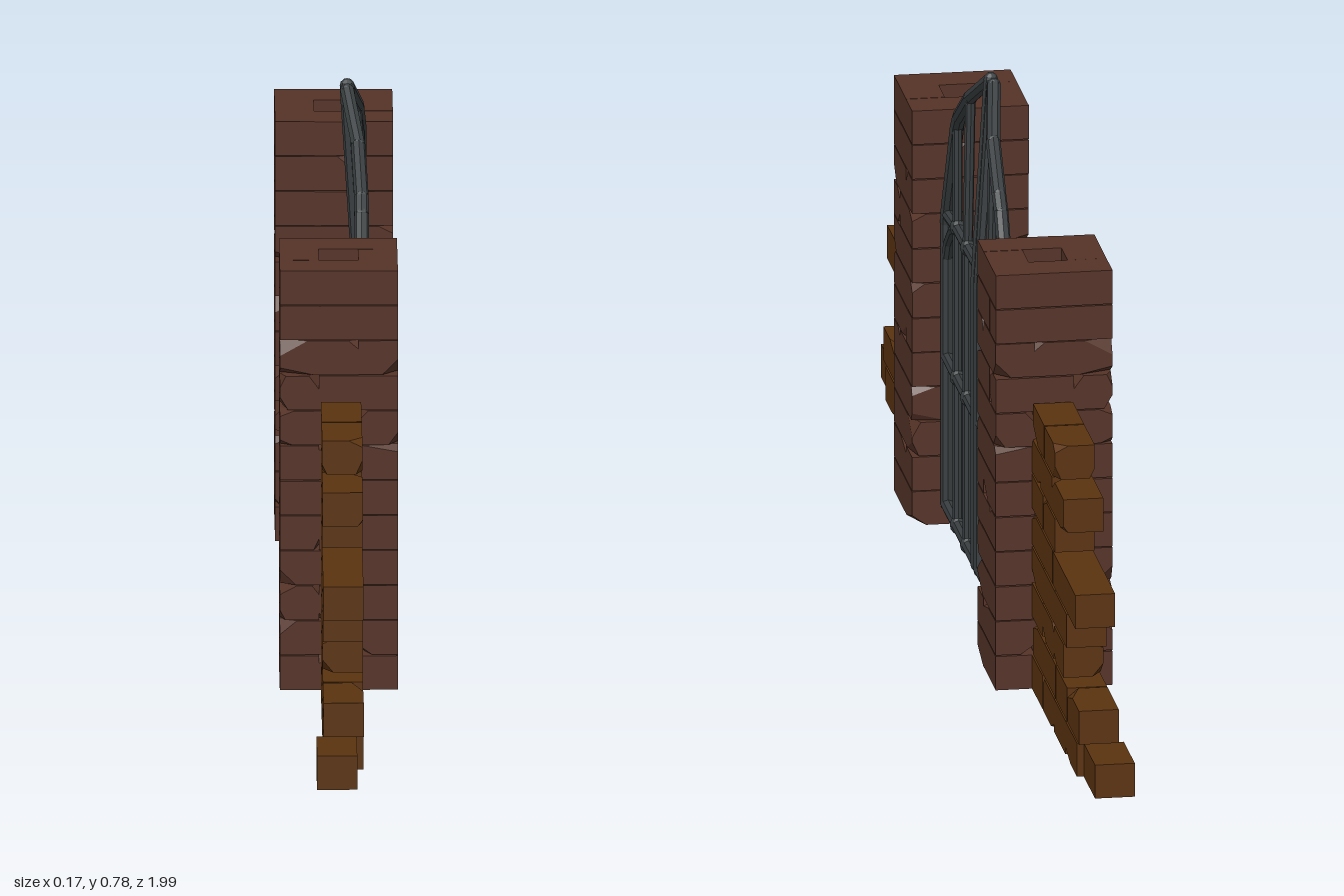
import * as THREE from 'three';
import { mergeGeometries } from 'three/addons/utils/BufferGeometryUtils.js';
import { ConvexGeometry } from 'three/addons/geometries/ConvexGeometry.js';

const material = (color) => new THREE.MeshStandardMaterial({ color, flatShading: true });

function seeded(seed) {
  return () => {
    seed = (seed * 16807) % 2147483647;
    return seed / 2147483647;
  };
}

// Box with some corners chipped off; range is [min, max] for each axis.
// The side factor mirrors the brick in z.
function brick(x, y, z, side, rand, chips) {
  const size = [x[1] - x[0], y[1] - y[0], z[1] - z[0]];
  const points = [];
  for (let i = 0; i < 8; i++) {
    const bit = [i & 1, (i >> 1) & 1, (i >> 2) & 1];
    const corner = [x[bit[0]], y[bit[1]], z[bit[2]]];
    const chipped = rand() < chips;
    const cuts = size.map((s) => s * (0.12 + 0.33 * rand()));
    if (!chipped) points.push(new THREE.Vector3(corner[0], corner[1], corner[2] * side));
    else for (let a = 0; a < 3; a++) {
      const p = [...corner];
      p[a] += bit[a] ? -cuts[a] : cuts[a];
      points.push(new THREE.Vector3(p[0], p[1], p[2] * side));
    }
  }
  return new ConvexGeometry(points);
}

// Hollow square pillar: four bricks per course in a pinwheel that flips each course
function pillar(side, mat) {
  const rand = seeded(4127), parts = [];
  const courses = 12, pitch = 0.0524, half = 0.085, inner = 0.0285, centre = 0.39;
  for (let c = 0; c < courses; c++) {
    const y = [c * pitch, c * pitch + 0.0508];
    const f = c % 2 ? -1 : 1;
    const layout = [
      [[-half, inner], [-half, -inner]],
      [[inner, half], [-half, inner]],
      [[-inner, half], [inner, half]],
      [[-half, -inner], [-inner, half]],
    ];
    for (const [bx, bz] of layout) {
      const x = f > 0 ? bx : [-bx[1], -bx[0]];
      const push = (rand() - 0.5) * 0.003;
      const z = bz.map((v) => v + centre + push);
      parts.push(brick(x, y, z, side, rand, c === courses - 1 ? 0 : 0.2));
    }
  }
  return new THREE.Mesh(mergeGeometries(parts), mat);
}

// Ruined wall: each course runs from its own broken end in to the pillar
function wall(side, mat) {
  const rand = seeded(977), parts = [];
  const ends = [1.0, 0.915, 0.77, 0.8, 0.88, 0.69, 0.77, 0.69];
  const lengths = [0.105, 0.11, 0.09, 0.115, 0.21, 0.11, 0.108, 0.1];
  ends.forEach((end, c) => {
    const y = [c * 0.0547, c * 0.0547 + 0.0505];
    for (let z = end, first = true; z > 0.49; first = false) {
      const stop = Math.max(0.472, z - (first ? lengths[c] : 0.107));
      const shift = c === 0 && first ? -0.01 : 0;
      const x = [-0.026 + shift, 0.032 + shift];
      parts.push(brick(x, y, [stop, z - 0.003], side, rand, 0.22));
      z = stop;
    }
  });
  return new THREE.Mesh(mergeGeometries(parts), mat);
}

// Round iron bar through a few points
function bar(points, radius) {
  const parts = [];
  for (let i = 0; i + 1 < points.length; i++) {
    const a = points[i], b = points[i + 1];
    const dir = b.clone().sub(a);
    const g = new THREE.CylinderGeometry(radius, radius, dir.length(), 8);
    g.applyQuaternion(new THREE.Quaternion().setFromUnitVectors(
      new THREE.Vector3(0, 1, 0), dir.clone().normalize()));
    g.translate(...a.clone().add(b).multiplyScalar(0.5).toArray());
    parts.push(g);
  }
  for (const p of points) {
    parts.push(new THREE.SphereGeometry(radius, 8, 6).translate(p.x, p.y, p.z));
  }
  return mergeGeometries(parts);
}

function gateLeaf(side, mat) {
  const leaf = new THREE.Group();
  const X = 0.035;
  const at = (z, y, x = X) => new THREE.Vector3(x, y, z * side);
  const add = (name, points, radius) => {
    const mesh = new THREE.Mesh(bar(points, radius), mat);
    mesh.name = name;
    leaf.add(mesh);
  };
  // Outer frame; the meeting stile leans back towards its tip
  add('meetingStile', [at(0.014, 0.032), at(0.014, 0.46), at(0.014, 0.765, 0.016)], 0.0105);
  add('hingeStile', [at(0.299, 0.032), at(0.299, 0.47)], 0.0095);
  add('archRail', [at(0.014, 0.765, 0.016), at(0.105, 0.71, 0.031), at(0.185, 0.655),
    at(0.205, 0.635), at(0.29, 0.485), at(0.299, 0.46)], 0.0105);
  add('bottomRail', [at(0.014, 0.032), at(0.299, 0.032)], 0.0095);
  add('middleRail', [at(0.014, 0.255), at(0.299, 0.255)], 0.009);
  add('upperRail', [at(0.014, 0.483, 0.034), at(0.2, 0.481), at(0.299, 0.472)], 0.009);
  add('curvedBrace', [at(0.2, 0.481), at(0.24, 0.465), at(0.28, 0.435), at(0.299, 0.405)], 0.0085);
  // Uprights with a small swelling at each crossing
  for (const [z, top] of [[0.107, 0.708], [0.202, 0.638]]) {
    add('upright', [at(z, 0.032), at(z, 0.48), at(z, top, z < 0.15 ? 0.031 : X)], 0.0075);
    for (const y of [0.032, 0.255, 0.482]) {
      const knuckle = new THREE.Mesh(new THREE.SphereGeometry(0.0125, 8, 6), mat);
      knuckle.name = 'knuckle';
      knuckle.scale.set(0.9, 1.1, 1.2);
      knuckle.position.copy(at(z, y));
      leaf.add(knuckle);
    }
  }
  return leaf;
}

export function createModel() {
  const model = new THREE.Group();
  model.name = 'gateway';
  const pillarMat = material(0x553327);
  const wallMat = material(0x5a330f);
  const ironMat = material(0x393e40);
  for (const side of [1, -1]) {
    const end = side > 0 ? 'front' : 'back';
    const parts = {
      Pillar: pillar(side, pillarMat),
      Wall: wall(side, wallMat),
      GateLeaf: gateLeaf(side, ironMat),
    };
    for (const [name, part] of Object.entries(parts)) {
      part.name = end + name;
      model.add(part);
    }
  }
  return model;
}
